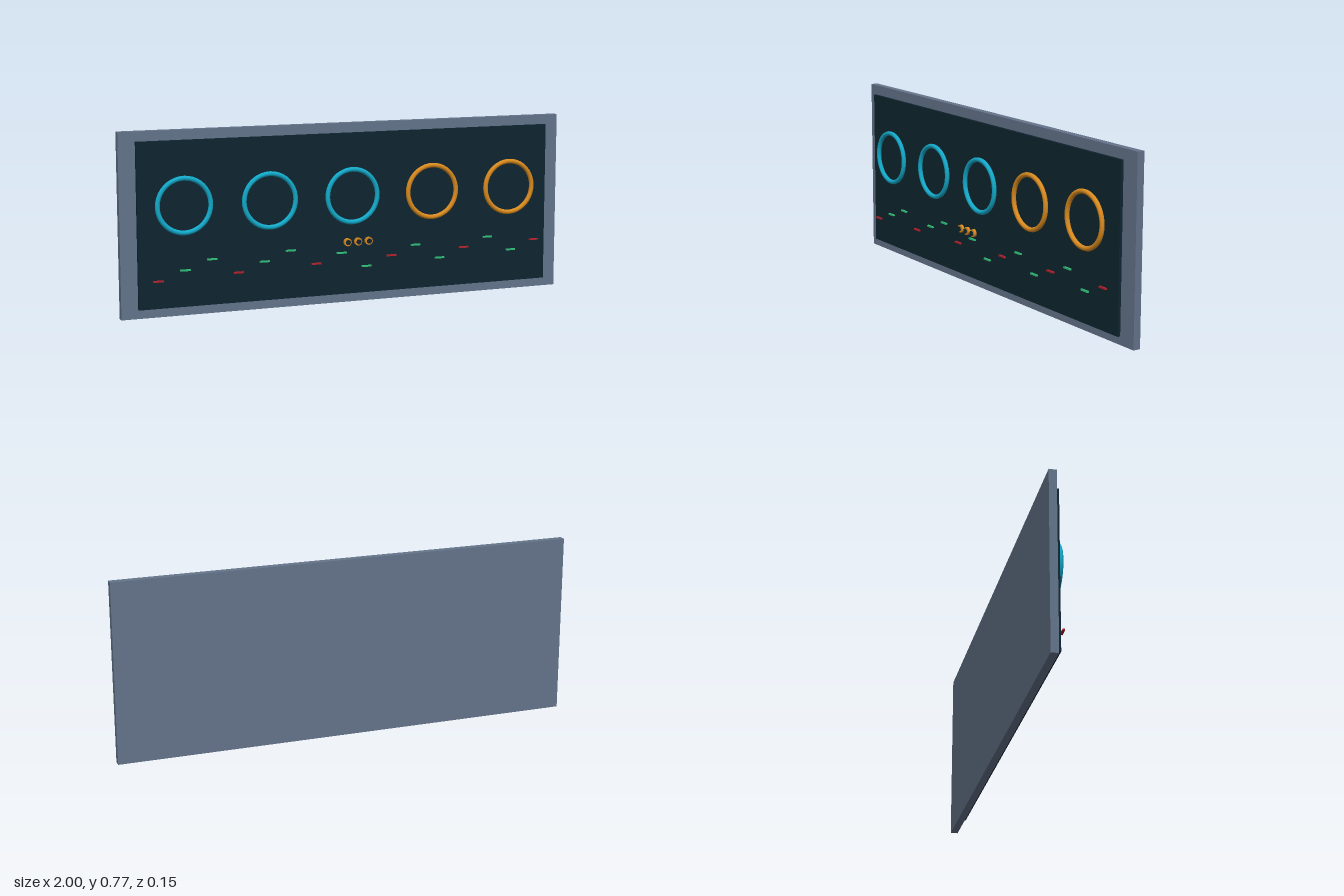
import * as THREE from 'three';

const material = (name, color) => {
  const m = new THREE.MeshStandardMaterial({ color });
  m.name = name;
  return m;
};

export function createModel() {
  const group = new THREE.Group();
  const slate = material('slate frame', 0x64748b);
  const dark = material('dark screen', 0x0f2530);
  const cyan = material('cyan', 0x12a9c9);
  const amber = material('amber', 0xd98a1e);
  const green = material('green', 0x2fbf78);
  const red = material('red', 0xb3202a);

  const add = (name, geometry, mat, x, y, z) => {
    const mesh = new THREE.Mesh(geometry, mat);
    mesh.name = name;
    mesh.position.set(x, y, z);
    group.add(mesh);
    return mesh;
  };

  // Back panel and the screen floating in front of it
  add('backPanel', new THREE.BoxGeometry(2, 0.775, 0.032), slate, 0, 0.3875, -0.061);
  add('screen', new THREE.BoxGeometry(1.864, 0.694, 0.013), dark, 0, 0.388, -0.0265);

  // Five dial rings: three cyan, two amber
  const ring = new THREE.TorusGeometry(0.113, 0.0103, 10, 40);
  for (let i = 0; i < 5; i++) {
    add('dialRing', ring, i < 3 ? cyan : amber, (i - 2) * 0.37, 0.4685, 0.003);
  }

  // Sixteen indicator bars, stepping through eight heights
  const bar = new THREE.BoxGeometry(0.043, 0.0068, 0.0095);
  for (let i = 0; i < 16; i++) {
    const y = 0.161 + ((i * 3) % 8) * 0.0129;
    add('indicatorBar', bar, i % 3 === 0 ? red : green, -0.855 + i * 0.1148, y, 0.0055);
  }

  // Three small knobs with dark discs in front
  const knob = new THREE.CylinderGeometry(0.0168, 0.0168, 0.0125, 16).rotateX(Math.PI / 2);
  const disc = new THREE.CylinderGeometry(0.0108, 0.0108, 0.004, 16).rotateX(Math.PI / 2);
  for (const x of [-0.048, 0, 0.048]) {
    add('knob', knob, amber, x, 0.2815, 0.0655);
    add('knobDisc', disc, dark, x, 0.2815, 0.0755);
  }

  return group;
}
